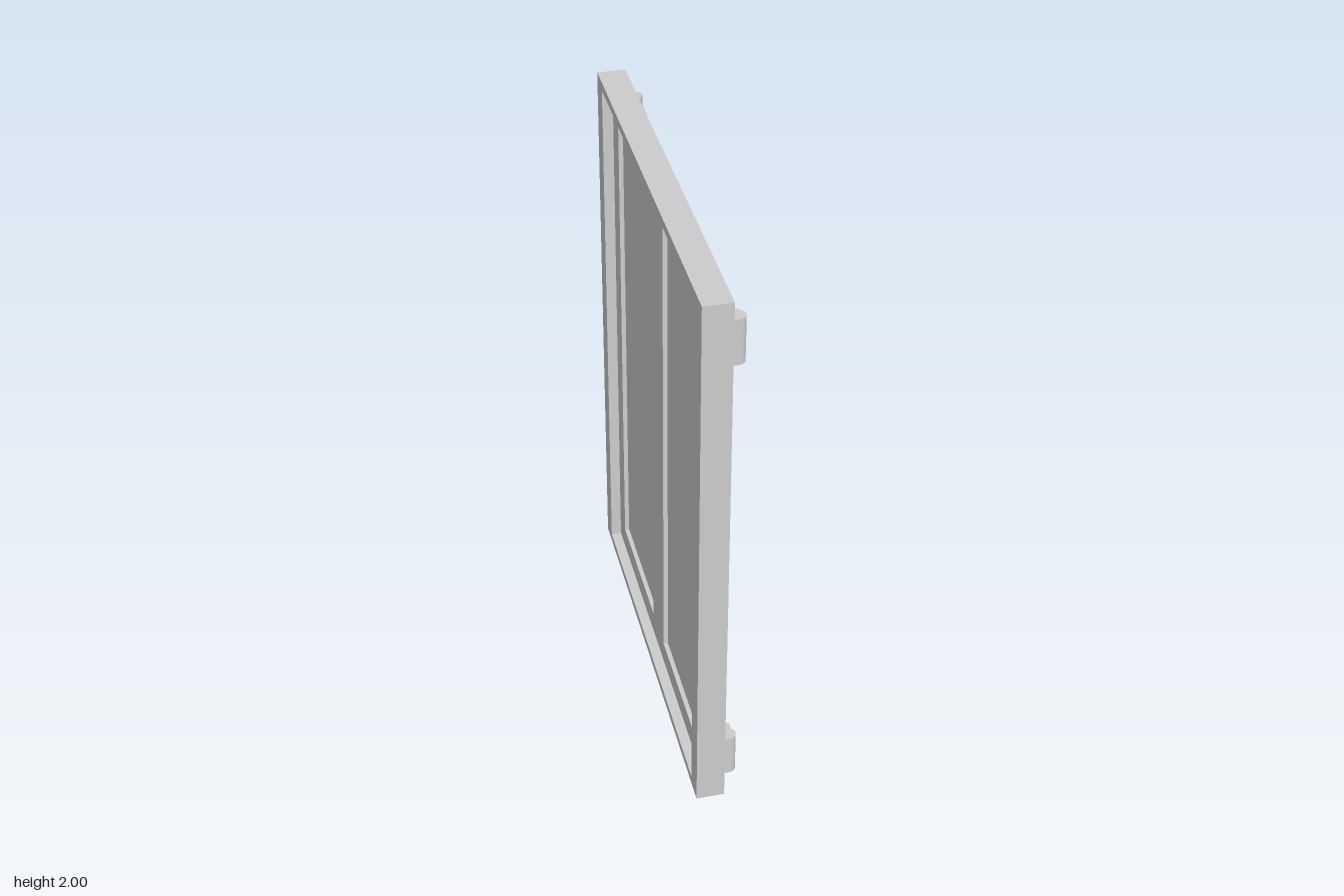
import * as THREE from 'three';

const HALF_W = 0.745, FRONT = 0.013, BACK = -0.084, REBATE = -0.047;
const MID_Y = 1.0;

// Rectangle outline in (z, y)
function rect(Type, z0, z1, y0, y1) {
  const p = new Type();
  p.moveTo(z0, y0);
  p.lineTo(z1, y0);
  p.lineTo(z1, y1);
  p.lineTo(z0, y1);
  p.closePath();
  return p;
}

export function createModel() {
  const group = new THREE.Group();
  const mat = new THREE.MeshStandardMaterial({ color: 0xcccccc });

  const add = (name, geo, x = 0, y = 0, z = 0) => {
    const mesh = new THREE.Mesh(geo, mat);
    mesh.name = name;
    mesh.position.set(x, y, z);
    group.add(mesh);
  };
  const box = (name, x0, x1, y0, y1, z0, z1) =>
    add(name, new THREE.BoxGeometry(x1 - x0, y1 - y0, Math.abs(z1 - z0)),
      (x0 + x1) / 2, (y0 + y1) / 2, (z0 + z1) / 2);

  // Flat board with openings, extruded along x
  const board = (name, holes, x0, x1) => {
    const shape = rect(THREE.Shape, -HALF_W, HALF_W, 0, 2);
    shape.holes = holes.map((h) => rect(THREE.Path, ...h));
    const geo = new THREE.ExtrudeGeometry(shape, { depth: x1 - x0, bevelEnabled: false });
    add(name, geo.rotateY(Math.PI / 2), x0);
  };

  // Outer frame rim behind, and the door rails and stiles in front
  board('frameRim', [[-0.669, 0.669, 0.031, 1.969]], BACK, REBATE);
  board('doorFrames', [[-0.586, -0.083, 0.114, 1.887], [0.083, 0.586, 0.114, 1.887]], REBATE, FRONT);

  // Rounded hinge barrel: flat against the door, half-round outside
  const r = 0.025;
  const barrel = new THREE.Shape();
  barrel.moveTo(FRONT, -r);
  barrel.lineTo(0.061 - r, -r);
  barrel.absarc(0.061 - r, 0, r, -Math.PI / 2, Math.PI / 2, false);
  barrel.lineTo(FRONT, r);
  barrel.closePath();
  const barrelGeo = new THREE.ExtrudeGeometry(barrel, { depth: 0.16, bevelEnabled: false, curveSegments: 16 });
  barrelGeo.rotateX(-Math.PI / 2);

  for (const s of [-1, 1]) {
    // Recessed door panel
    box('doorPanel', -0.031, -0.003, 0.11, 1.89, s * 0.08, s * 0.59);

    // Handle: round post and square plate
    const post = new THREE.CylinderGeometry(0.0225, 0.0225, 0.054, 24).rotateZ(Math.PI / 2);
    add('handlePost', post, 0.039, MID_Y + 0.001, s * 0.062);
    box('handlePlate', 0.064, 0.084, 0.923, 1.079, s * 0.03, s * 0.181);

    // Upper and lower hinges
    for (const y of [0.157, 1.845]) {
      add('hingeBarrel', barrelGeo, 0, y - 0.08, s * 0.697);
      box('hingeBlock', FRONT, 0.061, y - 0.043, y + 0.043, s * 0.697, s * 0.612);
    }
  }
  return group;
}
